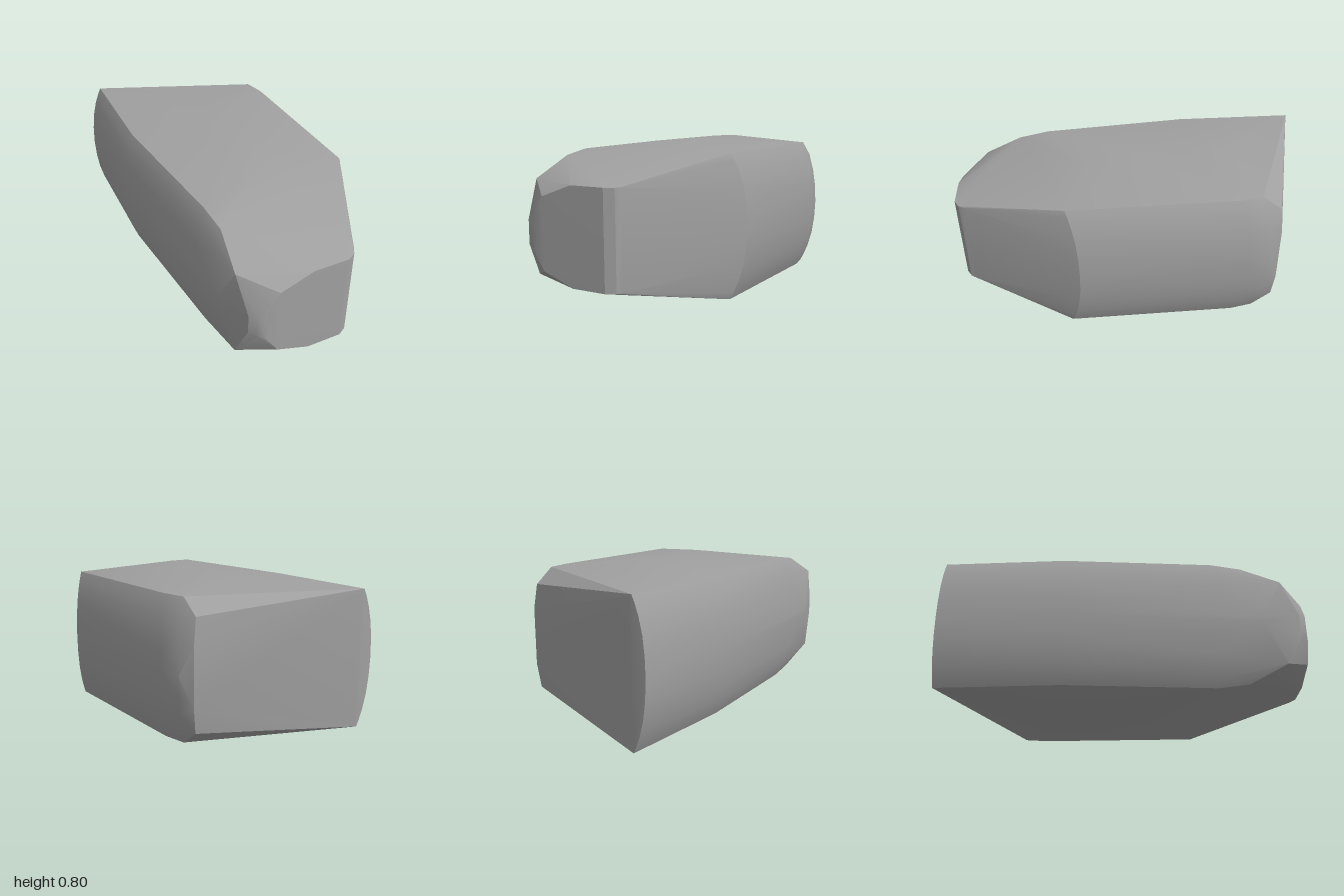
import * as THREE from 'three';
import { ConvexGeometry } from 'three/addons/geometries/ConvexGeometry.js';
import { toCreasedNormals } from 'three/addons/utils/BufferGeometryUtils.js';

const MID = 0.403; // height of the horizontal symmetry plane

export function createModel() {
  const group = new THREE.Group();
  const stone = new THREE.MeshStandardMaterial({ color: 0xa0a0a0 });
  stone.name = 'grey stone';

  // Each corner is [x, z, half height]; it is mirrored above and below MID
  const points = [];
  const add = (x, z, h) => points.push(
    new THREE.Vector3(x, MID + h, z), new THREE.Vector3(x, MID - h, z));

  // Bulging long sides: a middle line rolled inwards towards the top and bottom
  const roll = [[0, 0], [0.1, 0.06], [0.19, 0.22], [0.27, 0.5], [0.325, 0.78], [0.358, 1]];
  const bulge = (line, dx, dz) => {
    for (const [x, z] of line)
      for (const [h, t] of roll) add(x + dx * t, z + dz * t, h);
  };
  bulge([[-1, 0.2], [-0.4, 0.41], [0.36, 0.583]], 0.025, -0.07); // front
  bulge([[-0.42, -0.645], [-0.3, -0.63], [0.52, -0.36]], 0.03, 0.08); // back

  // Broad, slightly domed top and bottom
  [[-0.44, -0.13, 0.396], [-0.2, -0.06, 0.402], [0.05, 0.0, 0.4], [0.33, 0.02, 0.387],
    [0.54, 0.55, 0.335]].forEach((p) => add(...p));

  // Left end
  [[-0.97, 0.12, 0.345], [-0.975, 0.13, 0.2], [-0.49, -0.62, 0.15],
    [-0.485, -0.6, 0.28]].forEach((p) => add(...p));

  // Narrow right end with its chamfered front corner
  [[0.97, 0.125, 0.235], [0.99, 0.15, 0.235], [1, 0.2, 0.235], [0.945, 0.37, 0.235],
    [0.895, 0.53, 0.175], [0.875, 0.59, 0.08], [0.85, 0.62, 0.06], [0.81, 0.64, 0.05],
    [0.72, 0.635, 0.235], [0.6, 0.64, 0.02]].forEach((p) => add(...p));

  const body = new THREE.Mesh(toCreasedNormals(new ConvexGeometry(points), 0.45), stone);
  body.name = 'stoneBody';
  group.add(body);
  return group;
}
